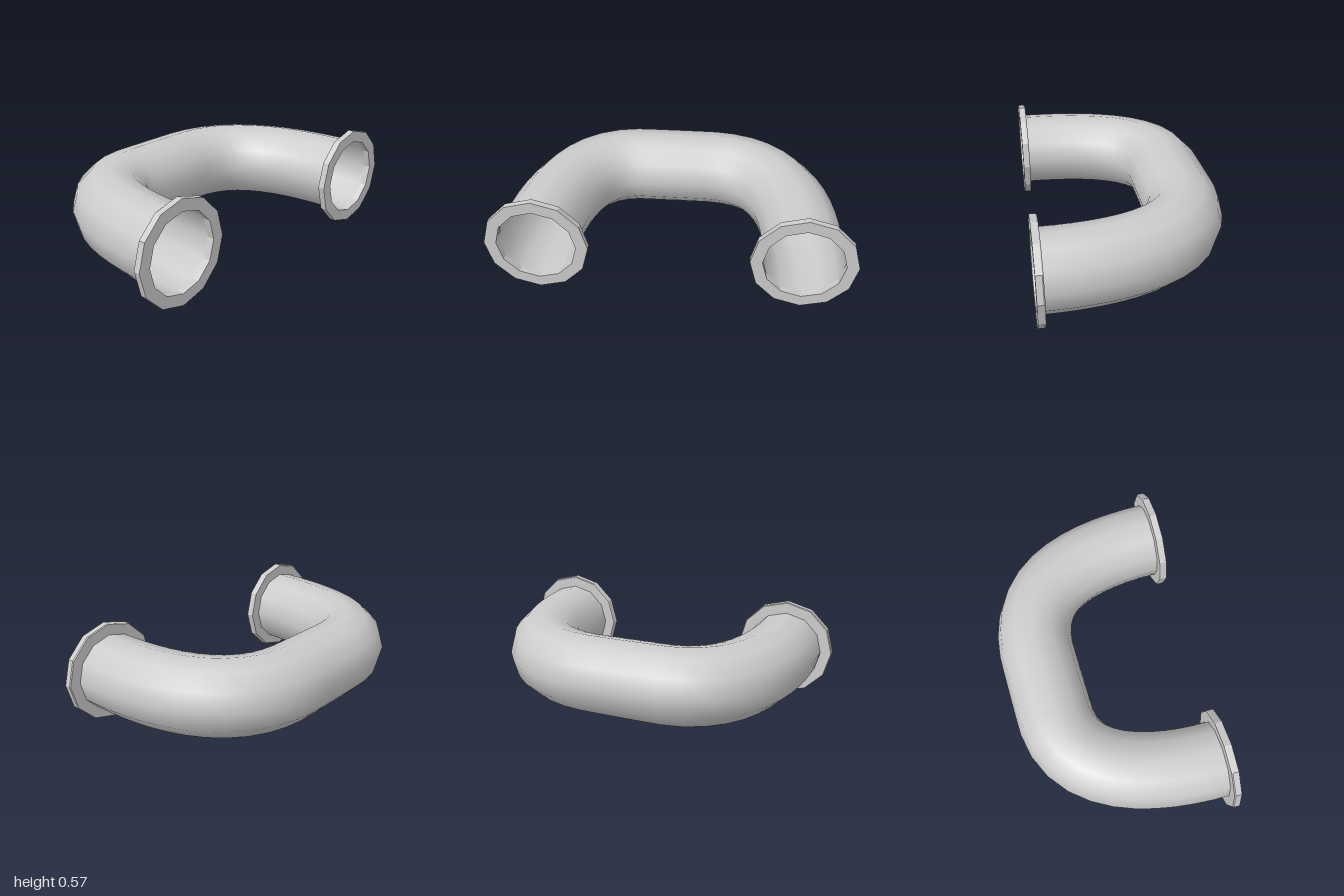
import * as THREE from 'three';

const SIDES = 12;
const AXIS_Y = 0.287;
const PIPE_RADIUS = 0.218;
const FLANGE_RADIUS = 0.284;

const at = (x, z) => new THREE.Vector3(x, AXIS_Y, z);

// Centre line: bend, short straight run, bend
function pipePath() {
  const path = new THREE.CurvePath();
  path.add(new THREE.CubicBezierCurve3(at(-0.715, 0.49), at(-0.715, -0.02), at(-0.56, -0.31), at(-0.25, -0.325)));
  path.add(new THREE.LineCurve3(at(-0.25, -0.325), at(0.15, -0.332)));
  path.add(new THREE.CubicBezierCurve3(at(0.15, -0.332), at(0.54, -0.335), at(0.715, -0.03), at(0.715, 0.51)));
  return path;
}

// Twelve-sided collar with an open bore and a small bevel at the back
function flangeGeometry() {
  const profile = [
    [PIPE_RADIUS, 0], [FLANGE_RADIUS - 0.004, 0], [FLANGE_RADIUS, 0.006],
    [FLANGE_RADIUS, 0.04], [PIPE_RADIUS, 0.04], [PIPE_RADIUS, 0],
  ].map(([r, y]) => new THREE.Vector2(r, y));
  return new THREE.LatheGeometry(profile, SIDES).rotateX(Math.PI / 2);
}

export function createModel() {
  const model = new THREE.Group();
  model.name = 'pipeBend';

  // Hollow pipe, seen from inside and outside
  const pipe = new THREE.Mesh(
    new THREE.TubeGeometry(pipePath(), 28, PIPE_RADIUS, SIDES, false),
    new THREE.MeshStandardMaterial({ color: 0xcccccc, side: THREE.DoubleSide }),
  );
  pipe.name = 'pipe';
  model.add(pipe);

  // Collars at the two open ends
  const collarMaterial = new THREE.MeshStandardMaterial({ color: 0xcccccc, flatShading: true, side: THREE.DoubleSide });
  for (const [name, x, z] of [['rightFlange', -0.716, 0.485], ['leftFlange', 0.716, 0.505]]) {
    const flange = new THREE.Mesh(flangeGeometry(), collarMaterial);
    flange.name = name;
    flange.position.set(x, AXIS_Y, z);
    model.add(flange);
  }
  return model;
}
